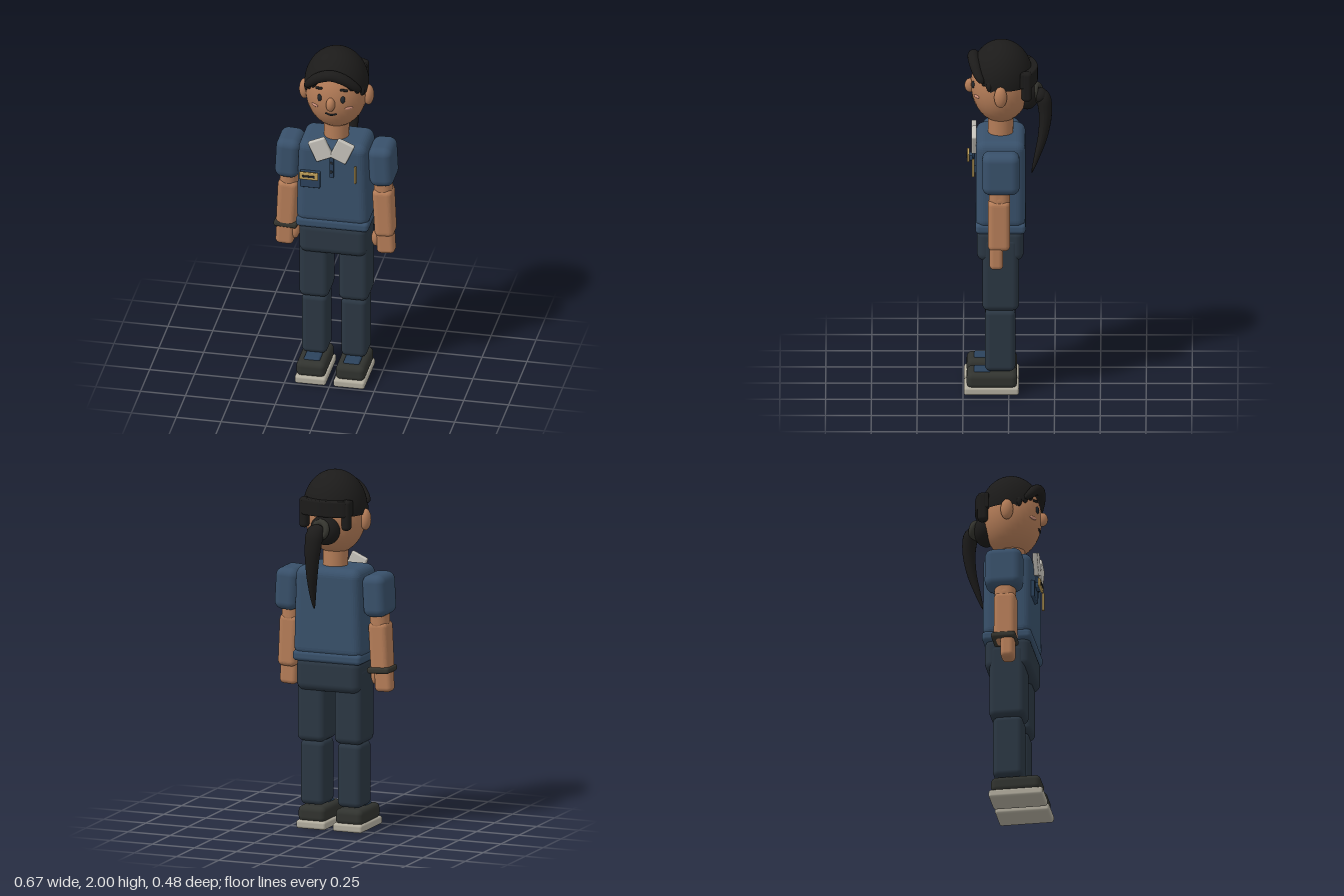
import * as THREE from 'three';
import { RoundedBoxGeometry } from 'three/addons/geometries/RoundedBoxGeometry.js';

const mat = (color) => new THREE.MeshStandardMaterial({ color, side: THREE.DoubleSide });
const M = {
  skin: mat(0xb57d58), shirt: mat(0x38506a), trousers: mat(0x2b3743), shoe: mat(0x31332f),
  sole: mat(0xb3ae9f), hair: mat(0x1c1b1a), tie: mat(0x35352f), collar: mat(0xc6c3bb),
  gold: mat(0xc0a05a), dark: mat(0x23282d), blush: mat(0xd0907a), pocket: mat(0x2b425c),
};
const Z = 0.045; // depth of the body's centre line

function add(parent, name, geometry, material, pos = [0, 0, 0], rot = [0, 0, 0]) {
  const mesh = new THREE.Mesh(geometry, material);
  mesh.name = name;
  mesh.position.set(...pos);
  mesh.rotation.set(...rot);
  parent.add(mesh);
  return mesh;
}
const box = (w, h, d, r = 0.02) => new RoundedBoxGeometry(w, h, d, 4, Math.min(r, w * 0.49, h * 0.49, d * 0.49));
const ball = (x, y, z) => new THREE.SphereGeometry(1, 32, 20).scale(x, y, z);
const curve = (pts) => new THREE.CatmullRomCurve3(pts.map((p) => new THREE.Vector3(...p)));

// Narrows a box towards its top
function taper(geometry, height, amount) {
  const p = geometry.attributes.position;
  for (let i = 0; i < p.count; i++) {
    const k = 1 - amount * (p.getY(i) / height + 0.5);
    p.setX(i, p.getX(i) * k);
  }
  geometry.computeVertexNormals();
  return geometry;
}

// Tube whose radius follows a function of its length, with flattening in x
function taperedTube(path, radius, flat = 1, steps = 28, sides = 18) {
  const g = new THREE.TubeGeometry(path, steps, 1, sides);
  const p = g.attributes.position;
  const v = new THREE.Vector3();
  for (let i = 0; i < p.count; i++) {
    const t = Math.floor(i / (sides + 1)) / steps;
    const c = path.getPointAt(t);
    v.fromBufferAttribute(p, i).sub(c).multiplyScalar(radius(t));
    p.setXYZ(i, c.x + v.x * flat, c.y + v.y, c.z + v.z);
  }
  g.computeVertexNormals();
  return g;
}

// Hair dome, level round the back and cut to a jagged fringe over the face
function hairDome() {
  const g = new THREE.SphereGeometry(1, 72, 24, 0, Math.PI * 2, 0, Math.PI / 2);
  const p = g.attributes.position, uv = g.attributes.uv;
  for (let i = 0; i < p.count; i++) {
    const a = uv.getX(i) * Math.PI * 2;
    const row = Math.floor(i / 73) / 24;
    const front = Math.cos(a); // 1 faces forward
    const rise = THREE.MathUtils.smoothstep(front, 0.35, 0.95);
    const jag = front > 0.3 ? 0.06 * Math.abs(Math.sin(a * 6)) : 0;
    const th = row * (1.68 - 0.6 * rise + jag);
    p.setXYZ(i, 0.177 * Math.sin(th) * Math.sin(a), 0.21 * Math.cos(th), 0.172 * Math.sin(th) * front);
  }
  g.computeVertexNormals();
  return g;
}

function buildHead() {
  const head = new THREE.Group();
  head.name = 'head';
  add(head, 'skull', ball(0.17, 0.215, 0.163), M.skin, [0, 1.75, Z]);
  add(head, 'neck', new THREE.CylinderGeometry(0.07, 0.068, 0.14, 32), M.skin, [0, 1.5, Z]);
  add(head, 'nose', ball(0.025, 0.04, 0.03), M.skin, [0, 1.74, 0.212]);
  for (const s of [-1, 1]) {
    add(head, 'ear', ball(0.03, 0.06, 0.035), M.skin, [s * 0.178, 1.735, Z]);
    add(head, 'eye', ball(0.013, 0.021, 0.01), M.dark, [s * 0.065, 1.768, 0.194], [0, s * 0.4, 0]);
    add(head, 'eyebrow', box(0.045, 0.014, 0.014), M.hair, [s * 0.07, 1.822, 0.185], [0, s * 0.4, -s * 0.2]);
    add(head, 'cheekMark', ball(0.024, 0.009, 0.006), M.blush, [s * 0.095, 1.71, 0.176], [0, s * 0.6, 0]);
    // small locks beside the temples
    for (const [x, y, z, tilt] of [[0.15, 1.79, 0.105, 0.1], [0.128, 1.815, 0.135, 0.25], [0.1, 1.84, 0.16, 0.4]])
      add(head, 'sideLock', ball(0.018, 0.032, 0.018), M.hair, [s * x, y, z], [0, 0, s * tilt]);
  }
  const smile = curve([[-0.032, 1.677, 0.195], [0, 1.669, 0.199], [0.032, 1.677, 0.195]]);
  add(head, 'mouth', new THREE.TubeGeometry(smile, 12, 0.005, 8), M.dark);

  // hair dome, rolled brim and strap round the back
  add(head, 'hairDome', hairDome(), M.hair, [0, 1.79, 0.04]);
  const brim = curve([[-0.152, 1.805, 0.14], [-0.13, 1.835, 0.163], [-0.07, 1.888, 0.187], [0, 1.91, 0.195],
    [0.07, 1.888, 0.187], [0.13, 1.835, 0.163], [0.152, 1.805, 0.14]]);
  add(head, 'brim', taperedTube(brim, (t) => 0.03 * Math.pow(Math.sin(Math.PI * t), 0.3) + 0.001), M.hair);
  const band = new THREE.Shape();
  band.moveTo(-0.14, 0.07);
  band.quadraticCurveTo(-0.145, 0.12, -0.1, 0.13);
  band.quadraticCurveTo(0, 0.17, 0.1, 0.13);
  band.quadraticCurveTo(0.145, 0.12, 0.14, 0.07);
  band.closePath();
  const bandGeo = new THREE.ExtrudeGeometry(band, { depth: 0.07, bevelSize: 0.008, bevelThickness: 0.01, bevelSegments: 3, curveSegments: 16 });
  add(head, 'backStrap', bandGeo, M.hair, [0, 1.78, 0], [-Math.PI / 2, 0, 0]);
  for (const s of [-1, 1]) add(head, 'strapEnd', box(0.05, 0.17, 0.055, 0.02), M.hair, [s * 0.125, 1.78, -0.097]);

  // gathered hair and ponytail
  add(head, 'hairKnot', ball(0.085, 0.085, 0.065), M.hair, [0, 1.69, -0.1]);
  add(head, 'hairTie', new THREE.TorusGeometry(0.042, 0.018, 12, 28), M.tie, [0.005, 1.7, -0.158], [0.25, -0.3, 0]);
  const tail = curve([[0.01, 1.705, -0.155], [0.022, 1.69, -0.182], [0.032, 1.6, -0.199], [0.042, 1.47, -0.187], [0.052, 1.34, -0.152], [0.055, 1.25, -0.125]]);
  add(head, 'ponytail', taperedTube(tail, (t) => 0.002 + 0.043 * Math.pow(1 - t, 0.7) * Math.min(1, 0.65 + t * 3), 1.25), M.hair);
  add(head, 'ponytailTop', ball(0.05, 0.04, 0.036), M.hair, [0.025, 1.69, -0.174]);
  return head;
}

function buildTorso() {
  const torso = new THREE.Group();
  torso.name = 'torso';
  add(torso, 'shirt', taper(box(0.41, 0.5, 0.27, 0.05), 0.5, 0.07), M.shirt, [0, 1.22, Z]);
  add(torso, 'hem', box(0.405, 0.06, 0.275, 0.022), M.shirt, [0, 0.972, Z]);
  add(torso, 'hips', box(0.38, 0.19, 0.255, 0.045), M.trousers, [0, 0.87, Z + 0.002]);
  for (const s of [-1, 1])
    add(torso, 'collarFlap', box(0.1, 0.125, 0.028, 0.008), M.collar, [s * 0.06, 1.445, 0.19], [0, 0, -s * 0.42]);
  add(torso, 'placket', box(0.024, 0.13, 0.016, 0.005), M.pocket, [0, 1.335, 0.182]);
  for (const y of [1.365, 1.31]) add(torso, 'button', ball(0.008, 0.008, 0.006), M.dark, [0, y, 0.192]);
  add(torso, 'pocket', box(0.112, 0.1, 0.022, 0.006), M.pocket, [-0.118, 1.252, 0.187]);
  add(torso, 'badge', box(0.106, 0.045, 0.014, 0.005), M.gold, [-0.12, 1.288, 0.222]);
  add(torso, 'badgeBar', box(0.07, 0.012, 0.01, 0.003), M.dark, [-0.12, 1.288, 0.228]);
  add(torso, 'badgeMount', box(0.06, 0.03, 0.03, 0.005), M.pocket, [-0.12, 1.28, 0.205]);
  add(torso, 'pen', box(0.012, 0.105, 0.014, 0.004), M.gold, [0.134, 1.307, 0.195]);
  return torso;
}

// Limbs are described on the model's left, s mirrors them
function buildArm(s) {
  const arm = new THREE.Group();
  arm.name = s > 0 ? 'leftArm' : 'rightArm';
  const tilt = [0, 0, s * 0.05];
  add(arm, 'sleeve', box(0.135, 0.235, 0.205, 0.045), M.shirt, [s * 0.26, 1.326, Z - 0.002], tilt);
  add(arm, 'upperArm', box(0.1, 0.2, 0.115, 0.045), M.skin, [s * 0.26, 1.22, Z + 0.005], tilt);
  add(arm, 'elbow', ball(0.052, 0.055, 0.058), M.skin, [s * 0.262, 1.175, Z + 0.005]);
  add(arm, 'forearm', taper(box(0.108, 0.29, 0.122, 0.03), 0.29, -0.04), M.skin, [s * 0.269, 1.03, Z + 0.008], tilt);
  add(arm, 'hand', box(0.1, 0.135, 0.075, 0.025), M.skin, [s * 0.28, 0.847, 0.068], tilt);
  add(arm, 'thumb', ball(0.026, 0.05, 0.026), M.skin, [s * 0.226, 0.863, 0.073]);
  if (s < 0) add(arm, 'wristband', box(0.13, 0.035, 0.135, 0.014), M.tie, [-0.274, 0.908, Z + 0.004], tilt);
  return arm;
}

function buildLeg(s) {
  const leg = new THREE.Group();
  leg.name = s > 0 ? 'leftLeg' : 'rightLeg';
  add(leg, 'thigh', box(0.166, 0.43, 0.2, 0.035), M.trousers, [s * 0.11, 0.703, Z]);
  add(leg, 'shin', box(0.142, 0.36, 0.165, 0.03), M.trousers, [s * 0.11, 0.312, Z + 0.002]);
  add(leg, 'shoe', box(0.162, 0.09, 0.275, 0.03), M.shoe, [s * 0.11, 0.08, 0.093]);
  add(leg, 'sole', box(0.174, 0.046, 0.3, 0.014), M.sole, [s * 0.108, 0.023, 0.095]);
  add(leg, 'shoeTongue', box(0.09, 0.025, 0.09, 0.01), M.pocket, [s * 0.11, 0.123, 0.145]);
  return leg;
}

export function createModel() {
  const model = new THREE.Group();
  model.name = 'uniformedFigure';
  model.add(buildHead(), buildTorso());
  for (const s of [-1, 1]) model.add(buildArm(s), buildLeg(s));
  return model;
}
